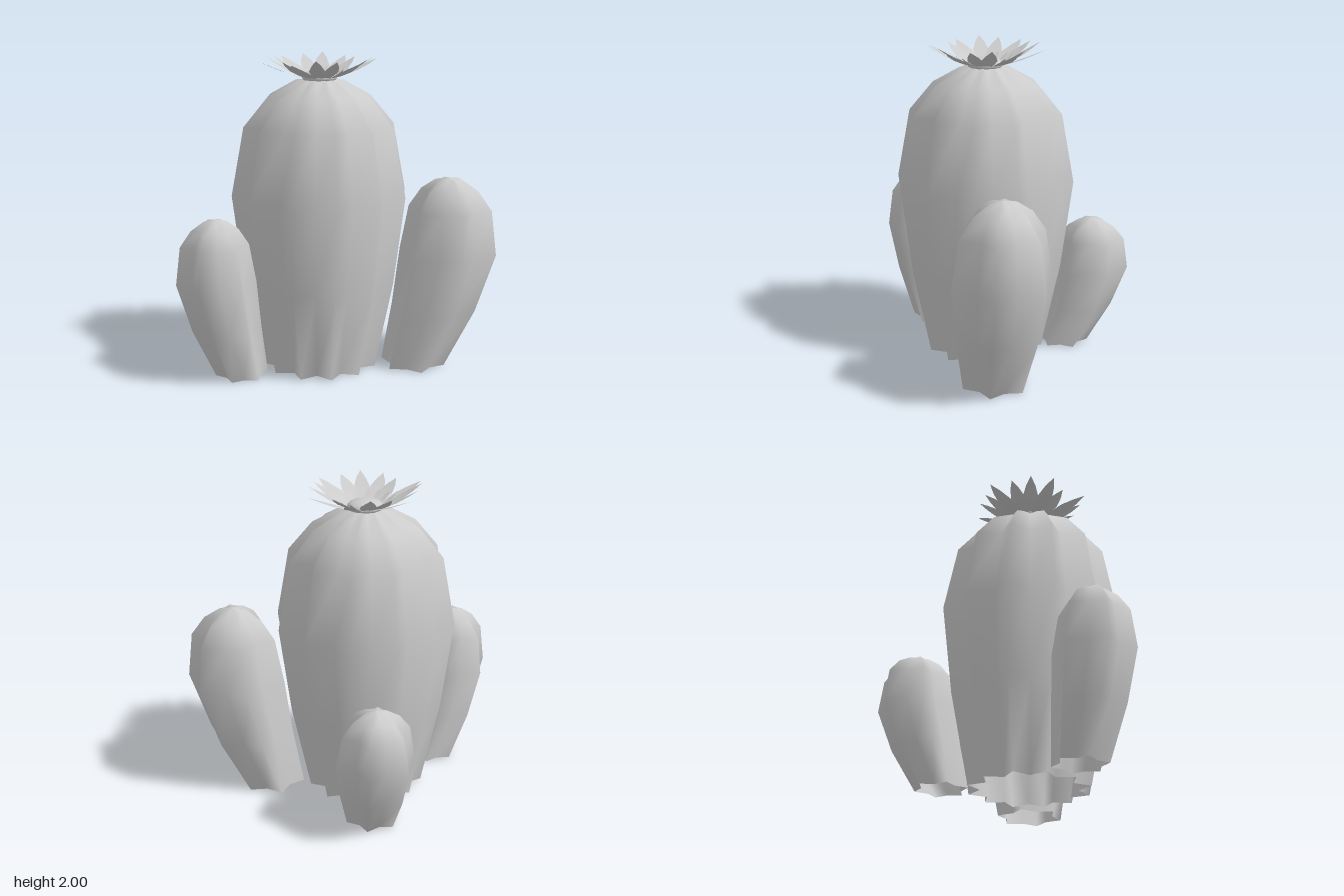
import * as THREE from 'three';

const material = new THREE.MeshStandardMaterial({ color: 0xcccccc, side: THREE.DoubleSide });

// Ridge profile shared by every stem: [height, radius, lean], all as fractions
const PROFILE = [
  [0, 0.67, 0], [0.305, 0.875, 0.6], [0.608, 1, 1], [0.84, 0.855, 1.04],
  [0.938, 0.585, 1.02], [0.99, 0.28, 1], [1, 0, 1],
];

function buildGeometry(positions, indices) {
  const g = new THREE.BufferGeometry();
  g.setAttribute('position', new THREE.Float32BufferAttribute(positions, 3));
  g.setIndex(indices);
  g.computeVertexNormals();
  return g;
}

// Ribbed stem, open below: star cross-sections stacked along a leaning centre line
function stem(name, { ribs, radius, height, valley, turn = 0, base, top }) {
  const n = ribs * 2, positions = [], indices = [];
  for (const [h, r, lean] of PROFILE) {
    const cx = THREE.MathUtils.lerp(base[0], top[0], lean);
    const cz = THREE.MathUtils.lerp(base[1], top[1], lean);
    for (let i = 0; i < n; i++) {
      const a = turn + (i / n) * Math.PI * 2;
      const d = radius * r * (i % 2 ? valley : 1);
      positions.push(cx + d * Math.cos(a), h * height, cz + d * Math.sin(a));
    }
  }
  for (let j = 0; j < PROFILE.length - 1; j++) {
    for (let i = 0; i < n; i++) {
      const a = j * n + i, b = j * n + (i + 1) % n;
      indices.push(a, a + n, b);
      if (j < PROFILE.length - 2) indices.push(b, a + n, b + n);
    }
  }
  const mesh = new THREE.Mesh(buildGeometry(positions, indices), material);
  mesh.name = name;
  return mesh;
}

// Pointed petal running along +x and curving upward
function petal(name, start, length, rise, halfWidth) {
  const rows = [[0, 0.4], [0.3, 0.75], [0.55, 1], [0.8, 0.6], [1, 0]];
  const positions = [], indices = [];
  rows.forEach(([t, w], j) => {
    const x = start + (length - start) * t, y = rise * Math.pow(t, 1.3);
    positions.push(x, y, -w * halfWidth, x, y, w * halfWidth);
    const a = j * 2;
    if (j < rows.length - 1) indices.push(a, a + 1, a + 2);
    if (j < rows.length - 2) indices.push(a + 1, a + 3, a + 2);
  });
  const mesh = new THREE.Mesh(buildGeometry(positions, indices), material);
  mesh.name = name;
  return mesh;
}

function flower() {
  const group = new THREE.Group();
  group.name = 'flower';

  // Outer petals differ in reach, repeating symmetrically in each quarter
  const reach = [0.3, 0.385, 0.34, 0.325, 0.375];
  const rise = [0.12, 0.115, 0.14, 0.13, 0.12];
  for (let i = 0; i < 16; i++) {
    const k = i % 8 > 4 ? 8 - (i % 8) : i % 8;
    const outer = petal('outerPetal', 0.07, reach[k], rise[k], 0.05);
    outer.rotation.y = (i / 16) * Math.PI * 2;
    const inner = petal('innerPetal', 0.1, 0.19, 0.06, 0.016);
    inner.position.y = 0.008;
    inner.rotation.y = ((i + 0.5) / 16) * Math.PI * 2;
    group.add(outer, inner);
  }

  // Flattened dome in the middle
  const dome = new THREE.Mesh(new THREE.SphereGeometry(0.11, 24, 12), material);
  dome.name = 'flowerCentre';
  dome.scale.y = 0.4;
  dome.position.y = 0.01;
  group.add(dome);
  return group;
}

export function createModel() {
  const model = new THREE.Group();
  model.name = 'cactus';

  model.add(
    stem('mainStem', {
      ribs: 12, radius: 0.565, height: 1.87, valley: 0.78, base: [0.003, -0.055], top: [0.003, -0.055],
    }),
    stem('frontLeftArm', {
      ribs: 6, radius: 0.315, height: 1.24, valley: 0.72, base: [0.43, 0.385], top: [0.588, 0.525],
    }),
    stem('rightArm', {
      ribs: 6, radius: 0.25, height: 1.035, valley: 0.72, turn: Math.PI / 6, base: [-0.535, -0.2], top: [-0.69, -0.24],
    }),
    stem('backLeftArm', {
      ribs: 6, radius: 0.25, height: 0.845, valley: 0.72, turn: Math.PI / 6, base: [0.375, -0.425], top: [0.495, -0.55],
    }),
  );

  const bloom = flower();
  bloom.position.set(0.003, 1.862, -0.055);
  model.add(bloom);
  return model;
}
